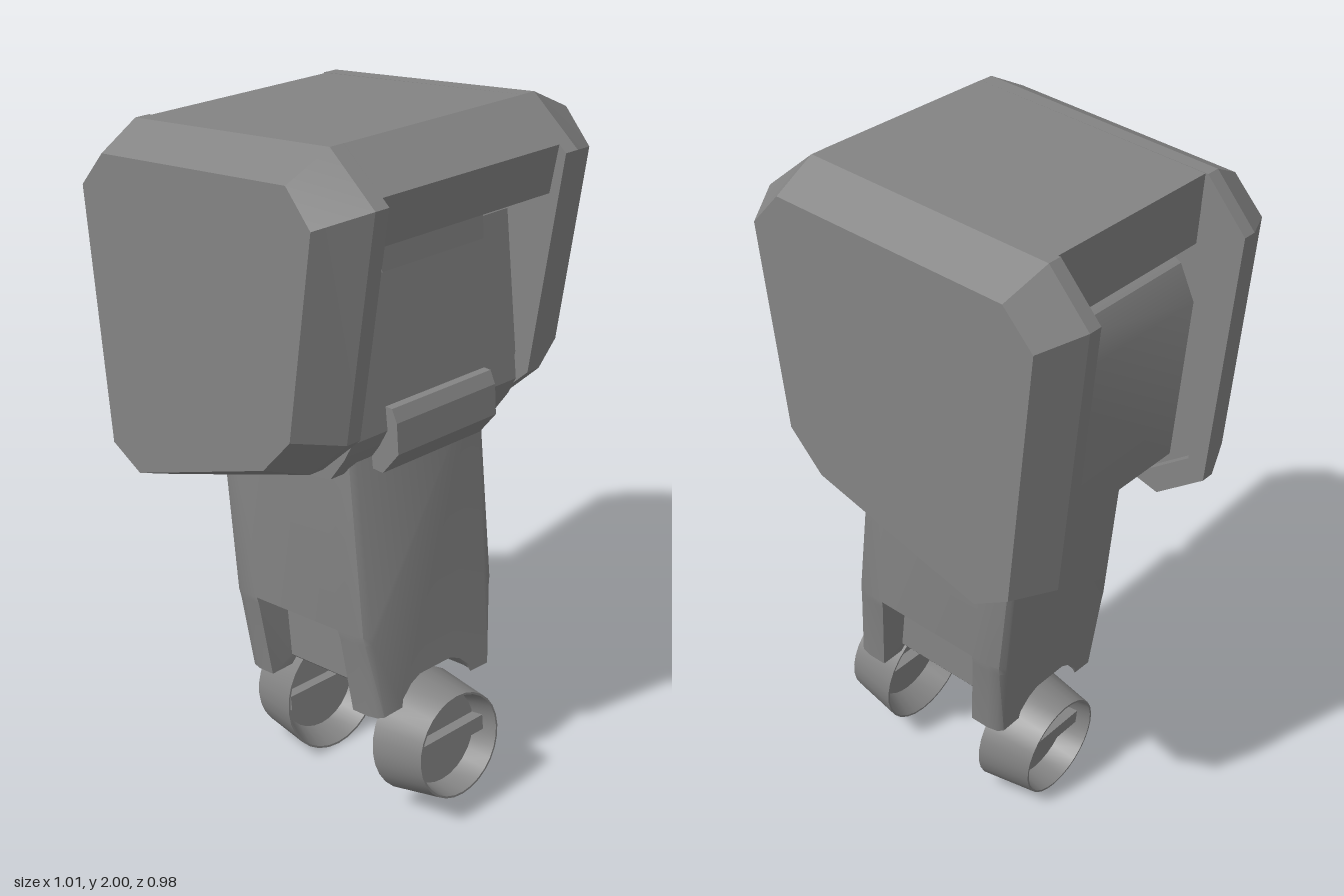
import * as THREE from 'three';
import { toCreasedNormals } from 'three/addons/utils/BufferGeometryUtils.js';

const darkGrey = new THREE.MeshStandardMaterial({ color: 0x848484 });

function addMesh(parent, name, geometry) {
  const m = new THREE.Mesh(geometry, darkGrey);
  m.name = name;
  parent.add(m);
  return m;
}

// Joins counter-clockwise outlines [points, depth] along z and closes both ends.
function loft(rings, crease = 0.3) {
  const pos = [];
  const put = (r, i) => pos.push(r[0][i][0], r[0][i][1], r[1]);
  const n = rings[0][0].length;
  for (let k = 0; k < rings.length - 1; k++) {
    const a = rings[k], b = rings[k + 1];
    for (let i = 0; i < n; i++) {
      const j = (i + 1) % n;
      put(a, i); put(a, j); put(b, j);
      put(a, i); put(b, j); put(b, i);
    }
  }
  const cap = (r, flip) => {
    const pts = r[0].map(p => new THREE.Vector2(p[0], p[1]));
    for (const [a, b, c] of THREE.ShapeUtils.triangulateShape(pts, [])) {
      put(r, a); put(r, flip ? c : b); put(r, flip ? b : c);
    }
  };
  cap(rings[0], true);
  cap(rings[rings.length - 1], false);
  const g = new THREE.BufferGeometry();
  g.setAttribute('position', new THREE.Float32BufferAttribute(pos, 3));
  g.computeVertexNormals();
  return toCreasedNormals(g, crease);
}

export function createModel() {
  const model = new THREE.Group();
  model.name = 'armouredLeg';

  // Front and back armour plates: bevelled outside, shallow recess inside
  const outer = [[0.503, 1.88], [0.35, 2.0], [-0.385, 1.918], [-0.505, 1.775],
    [-0.425, 1.025], [-0.275, 0.93], [0.275, 1.127], [0.41, 1.255]];
  const face = [[0.43, 1.845], [0.345, 1.935], [-0.355, 1.857], [-0.445, 1.755],
    [-0.37, 1.04], [-0.26, 0.985], [0.25, 1.175], [0.35, 1.285]];
  const inset = outer.map(([x, y]) => [x * 0.88, 1.47 + (y - 1.47) * 0.88]);
  const plate = [[inset, 0.34], [inset, 0.31], [outer, 0.31], [outer, 0.355], [face, 0.49]];
  addMesh(model, 'frontPlate', loft(plate));
  addMesh(model, 'backPlate', loft(plate.map(([p, d]) => [p, -d]).reverse()));

  // Roof bridging the plates, folded down at both sides
  const roof = [[0.455, 1.765], [0.48, 1.898], [0.351, 2.0], [-0.377, 1.918],
    [-0.36, 1.72], [-0.2, 1.7]];
  addMesh(model, 'roof', loft([[roof, -0.311], [roof, 0.311]]));

  // Inner body, leaning with the lower leg
  const body = [[-0.32, 1.08], [-0.2, 1.045], [0.14, 1.07], [0.29, 1.1], [0.34, 1.17],
    [0.37, 1.225], [0.312, 1.69], [0.25, 1.75], [-0.24, 1.71], [-0.325, 1.66], [-0.37, 1.56]];
  addMesh(model, 'body', loft([[body, -0.314], [body, 0.298]], 0.6));

  // Clips on the left-hand (+x) face
  const clips = {
    upperClip: [[0.28, 1.63], [0.345, 1.645], [0.335, 1.755], [0.25, 1.755]],
    lowerClip: [[0.28, 1.1], [0.355, 1.1], [0.41, 1.17], [0.403, 1.255], [0.385, 1.29],
      [0.33, 1.29]],
  };
  for (const [name, p] of Object.entries(clips)) {
    addMesh(model, name, loft([[p, -0.19], [p, 0.175]]));
  }

  // Lower leg and wheels share one tilted frame centred on the wheel axis
  const leg = new THREE.Group();
  leg.name = 'lowerLeg';
  leg.position.set(0.153, 0.204, 0);
  leg.rotation.z = 0.115;
  model.add(leg);

  // Side outline: arched foot, s narrows it, notch cuts away the front and back
  const side = (s, notch) => {
    const half = [[0.06, 0.228], [0.095, 0.212], [0.13, 0.178],
      notch ? [0.145, 0.18] : [0.15 * s, 0.155],
      notch ? [0.15, 0.186] : [0.226 * s, 0.153],
      notch ? [0.15, 0.404] : [0.25 * s, 0.38],
      [0.255 * s, 0.405], [0.255 * s, 1.0]];
    return [...half, ...half.map(([x, y]) => [-x, y]).reverse()];
  };
  const full = side(1, false), notched = side(1, true);
  const corner = [[side(0.9, false), 0.267], [side(0.965, false), 0.255], [full, 0.225]];
  const shin = loft([
    ...corner.map(([p, d]) => [p, -d]), [full, -0.167], [notched, -0.165],
    [notched, 0.165], [full, 0.167], ...corner.reverse(),
  ], 0.65);
  addMesh(leg, 'shin', shin.rotateY(Math.PI / 2));

  // Tapered thin-walled wheels, each with a recessed disc and crossbar
  const rim = [[0, 0.07], [0.135, 0.07], [0.174, 0], [0.18, 0], [0.154, 0.162],
    [0.148, 0.162], [0.135, 0.085], [0, 0.085]].map(p => new THREE.Vector2(...p));
  for (const s of [1, -1]) {
    const wheel = new THREE.Group();
    wheel.name = s > 0 ? 'leftWheel' : 'rightWheel';
    wheel.position.set(s * 0.176, 0, -0.005);
    wheel.rotation.z = -s * Math.PI / 2;
    addMesh(wheel, 'rim', toCreasedNormals(new THREE.LatheGeometry(rim, 28), 0.4));
    const bar = addMesh(wheel, 'crossbar', new THREE.BoxGeometry(0.045, 0.085, 0.275));
    bar.position.set(0, 0.078, 0);
    leg.add(wheel);
  }
  return model;
}
